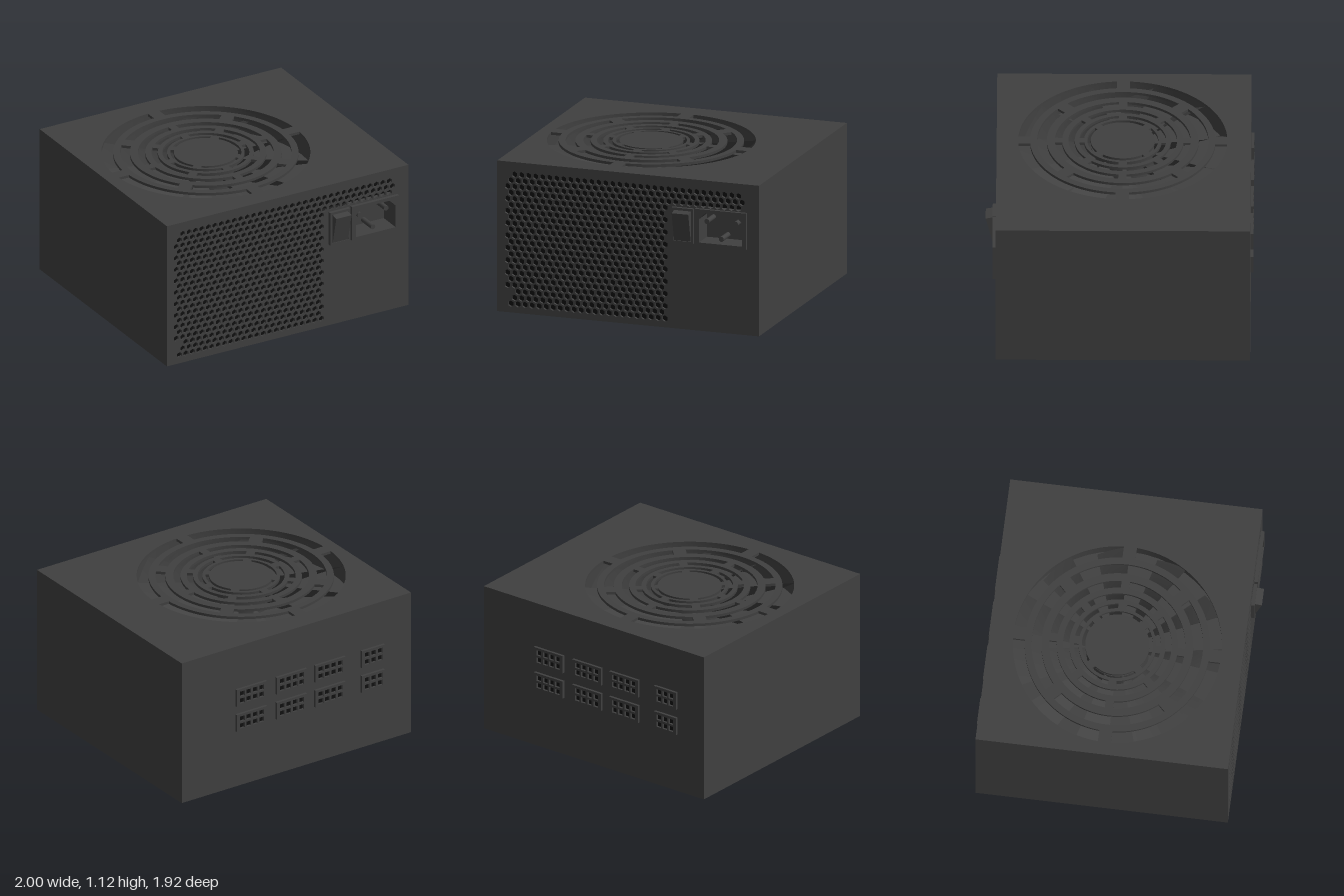
import * as THREE from 'three';

const casing = new THREE.MeshStandardMaterial({ color: 0x404040 });
casing.name = 'charcoal casing';
const fanGrey = new THREE.MeshStandardMaterial({ color: 0x414141, side: THREE.DoubleSide });
fanGrey.name = 'fan grey';
const black = new THREE.MeshStandardMaterial({ color: 0x101010 });
black.name = 'inner black';

const FRONT = 0.885, BACK = -0.94, TOP = 1.12, T = 0.02;
const FAN_X = -0.155, FAN_Z = -0.02;

function add(parent, name, geometry, material = casing) {
  const mesh = new THREE.Mesh(geometry, material);
  mesh.name = name;
  parent.add(mesh);
  return mesh;
}

// Box given by its limits on each axis
function block(x0, x1, y0, y1, z0, z1) {
  return new THREE.BoxGeometry(x1 - x0, y1 - y0, z1 - z0)
    .translate((x0 + x1) / 2, (y0 + y1) / 2, (z0 + z1) / 2);
}

const polygon = (points) => points.map(([x, y]) => new THREE.Vector2(x, y));
const rect = (x0, x1, y0, y1) => polygon([[x0, y0], [x1, y0], [x1, y1], [x0, y1]]);

// Plate in the xy plane with holes, extruded from z0 to z1
function plate(outline, holes, z0, z1) {
  const shape = new THREE.Shape(outline);
  shape.holes = holes.map((h) => (h instanceof THREE.Path ? h : new THREE.Path(h)));
  return new THREE.ExtrudeGeometry(shape, { depth: z1 - z0, bevelEnabled: false, curveSegments: 16 })
    .translate(0, 0, z0);
}

// Hexagonal vent holes: wide rows above the sockets, shorter rows below
function ventHoles() {
  const holes = [], pitch = 0.0535, radius = 0.0232;
  const skipped = { 0: 1, 19: 1, 20: 1 };
  for (let row = 0; row < 22; row++) {
    const odd = row % 2;
    const last = row < 3 ? 33 : 22;
    for (let i = skipped[row] || 0; i <= last; i++) {
      const x = -0.9225 + (i + odd / 2) * pitch, y = 1.027 - row * 0.0458;
      const hex = [];
      for (let k = 0; k < 6; k++) {
        const a = (k + 0.5) * Math.PI / 3;
        hex.push([x + radius * Math.cos(a), y + radius * Math.sin(a)]);
      }
      holes.push(polygon(hex));
    }
  }
  return holes;
}

// Concentric arc slots, with the bridges turned by 45 degrees on every other ring
function grilleSlots() {
  const rings = [[0.75, 0.665], [0.615, 0.545], [0.487, 0.435], [0.39, 0.345], [0.312, 0.278], [0.255, 0.23]];
  const slots = [];
  rings.forEach(([outer, inner], n) => {
    const gap = n < 2 ? 0.047 : 0.03;
    for (let q = 0; q < 4; q++) {
      const start = (q + (n % 2) / 2) * Math.PI / 2, end = start + Math.PI / 2;
      const a = Math.asin(gap / outer), b = Math.asin(gap / inner);
      const slot = new THREE.Path();
      slot.absarc(FAN_X, -FAN_Z, outer, start + a, end - a, false);
      slot.absarc(FAN_X, -FAN_Z, inner, end - b, start + b, true);
      slot.closePath();
      slots.push(slot);
    }
  });
  return slots;
}

function createCase() {
  const group = new THREE.Group();
  group.name = 'case';
  const wall = TOP - T;
  add(group, 'bottomPanel', block(-1, 1, 0, T, BACK, FRONT - T));
  add(group, 'backPanel', block(-1, 1, T, wall, BACK, BACK + T));
  for (const s of [-1, 1]) {
    add(group, s > 0 ? 'leftPanel' : 'rightPanel',
      block(s > 0 ? 1 - T : -1, s > 0 ? 1 : -1 + T, T, wall, BACK + T, FRONT - T));
  }
  add(group, 'ventedFrontPanel',
    plate(rect(-1, 1, 0, wall), [...ventHoles(), rect(0.54, 0.89, 0.655, 0.895)], FRONT - T, FRONT));
  add(group, 'fanGrilleTopPanel',
    plate(rect(-1, 1, -FRONT, -BACK), grilleSlots(), wall, TOP).rotateX(-Math.PI / 2));
  // Dark lining behind the vent
  add(group, 'ventLining', block(-0.96, 0.32, 0.03, 1.07, 0.825, 0.835), black);
  add(group, 'ventLiningStrip', block(0.32, 0.96, 0.915, 1.07, 0.825, 0.835), black);
  return group;
}

function createFan() {
  const fan = new THREE.Group();
  fan.name = 'fan';
  fan.position.set(FAN_X, 0, FAN_Z);
  add(fan, 'fanHub', new THREE.CylinderGeometry(0.225, 0.225, 0.16, 40).translate(0, 0.99, 0), fanGrey);
  add(fan, 'fanBackplate', new THREE.CylinderGeometry(0.79, 0.79, 0.02, 48).translate(0, 0.9, 0), fanGrey);
  add(fan, 'fanShroud', new THREE.CylinderGeometry(0.79, 0.79, 0.2, 48, 1, true).translate(0, 1, 0), fanGrey);
  // Ring sectors that drop with their angle make pitched blades
  const sweep = Math.PI / 10;
  const blade = new THREE.RingGeometry(0.22, 0.77, 6, 4, 0, sweep).rotateX(-Math.PI / 2);
  const p = blade.attributes.position;
  for (let i = 0; i < p.count; i++) {
    const angle = Math.atan2(-p.getZ(i), p.getX(i));
    p.setY(i, 1.07 - 0.14 * angle / sweep);
  }
  blade.computeVertexNormals();
  for (let i = 0; i < 11; i++) {
    add(fan, 'fanBlade', blade, fanGrey).rotation.y = i * Math.PI * 2 / 11;
  }
  return fan;
}

function createPowerInlet() {
  const group = new THREE.Group();
  group.name = 'powerInlet';
  const opening = polygon([[0.55, 0.662], [0.88, 0.662], [0.88, 0.835], [0.83, 0.885], [0.6, 0.885], [0.55, 0.835]]);
  add(group, 'inletBezel', plate(rect(0.52, 0.91, 0.64, 0.91), [opening], FRONT, 0.91));
  add(group, 'inletWalls', plate(rect(0.54, 0.89, 0.655, 0.895), [opening], 0.74, FRONT));
  add(group, 'inletFloor', block(0.54, 0.89, 0.655, 0.895, 0.72, 0.74));
  for (const [x, y] of [[0.6, 0.815], [0.82, 0.815], [0.71, 0.693]]) {
    add(group, 'inletPin',
      new THREE.CylinderGeometry(0.019, 0.019, 0.14, 16).rotateX(Math.PI / 2).translate(x, y, 0.81));
  }
  return group;
}

function createSwitch() {
  const group = new THREE.Group();
  group.name = 'powerSwitch';
  add(group, 'switchFrame', plate(rect(0.34, 0.505, 0.645, 0.905), [rect(0.357, 0.49, 0.66, 0.887)], FRONT, 0.91));
  // Wedge profile in z and y, swept across x
  const wedge = polygon([[0.885, 0.662], [0.908, 0.662], [0.96, 0.875], [0.908, 0.885], [0.885, 0.885]]);
  add(group, 'switchRocker', plate(wedge, [], 0, 0.127).rotateY(-Math.PI / 2).translate(0.487, 0, 0));
  return group;
}

// Back connector block with two rows of square pin openings
function createConnector(x0, x1, y0, columns) {
  const group = new THREE.Group();
  group.name = 'outputConnector';
  const y1 = y0 + 0.135, half = 0.02, holes = [];
  for (let c = 0; c < columns; c++) {
    for (let r = 0; r < 2; r++) {
      const x = (x0 + x1) / 2 + (c - (columns - 1) / 2) * 0.056;
      const y = (y0 + y1) / 2 + (r - 0.5) * 0.056;
      holes.push(rect(x - half, x + half, y - half, y + half));
    }
  }
  add(group, 'connectorShell', plate(rect(x0, x1, y0, y1), holes, -0.96, BACK));
  add(group, 'connectorCavity', block(x0 + 0.01, x1 - 0.01, y0 + 0.01, y1 - 0.01, BACK - 0.003, BACK), black);
  return group;
}

export function createModel() {
  const model = new THREE.Group();
  model.name = 'powerSupply';
  model.add(createCase(), createFan(), createPowerInlet(), createSwitch());
  for (const y of [0.445, 0.645]) {
    model.add(createConnector(-0.76, -0.56, y, 3));
    for (const x of [-0.417, -0.08, 0.268]) model.add(createConnector(x, x + 0.264, y, 4));
  }
  return model;
}
